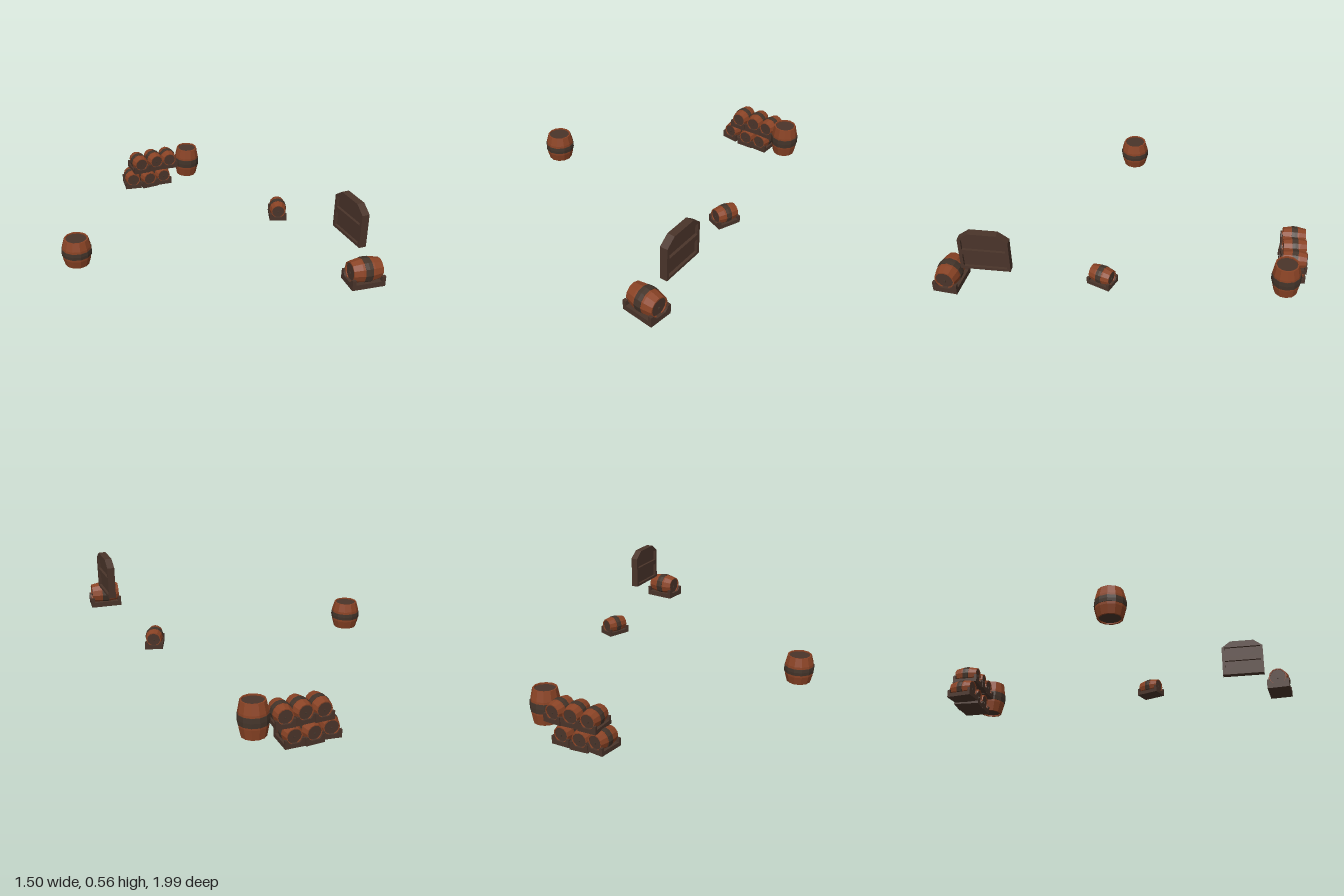
import * as THREE from 'three';

const mat = (name, color) => {
  const m = new THREE.MeshStandardMaterial({ color });
  m.name = name;
  return m;
};

// faceted normals
function flat(g) {
  const f = g.index ? g.toNonIndexed() : g;
  f.computeVertexNormals();
  return f;
}

export function createModel() {
  const wood = mat('red brown wood', 0x8a4325);
  const dark = mat('dark wood', 0x4a342a);
  const band = mat('iron band', 0x43342a);
  const model = new THREE.Group();
  model.name = 'barrelsAndGate';

  function add(parent, name, geo, material, x = 0, y = 0, z = 0) {
    const m = new THREE.Mesh(flat(geo), material);
    m.name = name;
    m.position.set(x, y, z);
    parent.add(m);
    return m;
  }

  const lathe = (pts) => new THREE.LatheGeometry(pts.map(p => new THREE.Vector2(...p)), 12);

  // barrel standing on its own centre: end radius r, belly radius R, height h
  function barrel(r, R, h, bandH) {
    const g = new THREE.Group();
    g.name = 'barrel';
    const e = h / 2, lip = r * 0.88, inset = h * 0.05, q = R * 0.965;
    add(g, 'staves', lathe([[lip, -e + inset], [lip, -e], [r, -e], [q, -h * 0.2], [R * 0.99, 0],
      [q, h * 0.2], [r, e], [lip, e], [lip, e - inset]]), wood);
    add(g, 'lids', new THREE.CylinderGeometry(lip + 0.001, lip + 0.001, h - inset * 1.6, 12), dark);
    const b = bandH / 2;
    add(g, 'hoop', lathe([[R * 0.9, -b], [R * 1.01, -b], [R * 1.03, 0], [R * 1.01, b], [R * 0.9, b]]), band);
    return g;
  }

  // barrel lying along z in a cradle
  function cradleBarrel(name, x, y, z, turn, s) {
    const g = new THREE.Group();
    g.name = name;
    const b = barrel(0.056, 0.068, 0.165, 0.042);
    b.rotation.x = Math.PI / 2;
    b.position.y = 0.075;
    g.add(b);
    add(g, 'cradleBase', new THREE.BoxGeometry(0.135, 0.03, 0.186), dark, 0, 0.015, 0);
    for (const side of [-1, 1]) {
      // end saddle with a rounded scoop for the barrel
      const s2 = new THREE.Shape();
      s2.moveTo(-0.0675, 0);
      s2.lineTo(0.0675, 0);
      s2.lineTo(0.0675, 0.058);
      s2.lineTo(0.05, 0.058);
      s2.absarc(0, 0.075, 0.053, -0.33, -Math.PI + 0.33, true);
      s2.lineTo(-0.0675, 0.058);
      const geo = new THREE.ExtrudeGeometry(s2, { depth: 0.02, bevelEnabled: false, curveSegments: 6 });
      add(g, 'cradleSaddle', geo, dark, 0, 0, side * 0.083 - 0.01);
      add(g, 'bung', new THREE.BoxGeometry(0.009, 0.009, 0.008), band, 0, 0.068, side * 0.08);
    }
    g.position.set(x, y, z);
    g.rotation.y = turn;
    g.scale.setScalar(s);
    model.add(g);
  }

  // upright barrels
  const left = barrel(0.067, 0.083, 0.157, 0.036);
  left.name = 'uprightBarrel';
  left.position.set(-0.665, 0.19, 0.09);
  model.add(left);
  const tall = barrel(0.066, 0.08, 0.19, 0.052);
  tall.name = 'tallBarrel';
  tall.position.set(0.375, 0.15, -0.87);
  tall.rotation.x = 0.05;
  model.add(tall);

  // stacked barrels, two rows of three
  [[-0.005, 0.01, -0.15], [0.1, 0, 0.05], [0.205, 0.005, -0.03]].forEach(([x, y, t]) =>
    cradleBarrel('bottomRowBarrel', x, y, -0.918, t, 0.78));
  [[0.045, 0.115, 0], [0.15, 0.12, 0.05], [0.25, 0.118, -0.08]].forEach(([x, y, t]) =>
    cradleBarrel('topRowBarrel', x, y, -0.915, t, 0.78));

  // single cradled barrels
  cradleBarrel('smallBarrel', 0.56, 0.175, 0.115, -0.39, 0.73);
  cradleBarrel('largeBarrel', 0.645, 0.17, 0.92, 1.46, 1);

  // gate with chamfered top and two recessed panels
  const gate = new THREE.Group();
  gate.name = 'gate';
  const outline = new THREE.Shape([[-0.132, 0], [0.132, 0], [0.132, 0.19], [0.075, 0.232],
    [-0.075, 0.232], [-0.132, 0.19]].map(p => new THREE.Vector2(...p)));
  for (const [y0, y1] of [[0.015, 0.095], [0.125, 0.19]]) {
    outline.holes.push(new THREE.Path([[-0.115, y0], [-0.115, y1], [0.115, y1], [0.115, y0]]
      .map(p => new THREE.Vector2(...p))));
  }
  add(gate, 'gateFrame', new THREE.ExtrudeGeometry(outline, { depth: 0.042, bevelEnabled: false }),
    dark, 0, 0, -0.021);
  add(gate, 'gatePanel', new THREE.BoxGeometry(0.24, 0.185, 0.012), dark, 0, 0.105, 0);
  gate.position.set(0.679, 0.323, 0.702);
  gate.rotation.y = Math.PI / 2;
  model.add(gate);

  return model;
}
